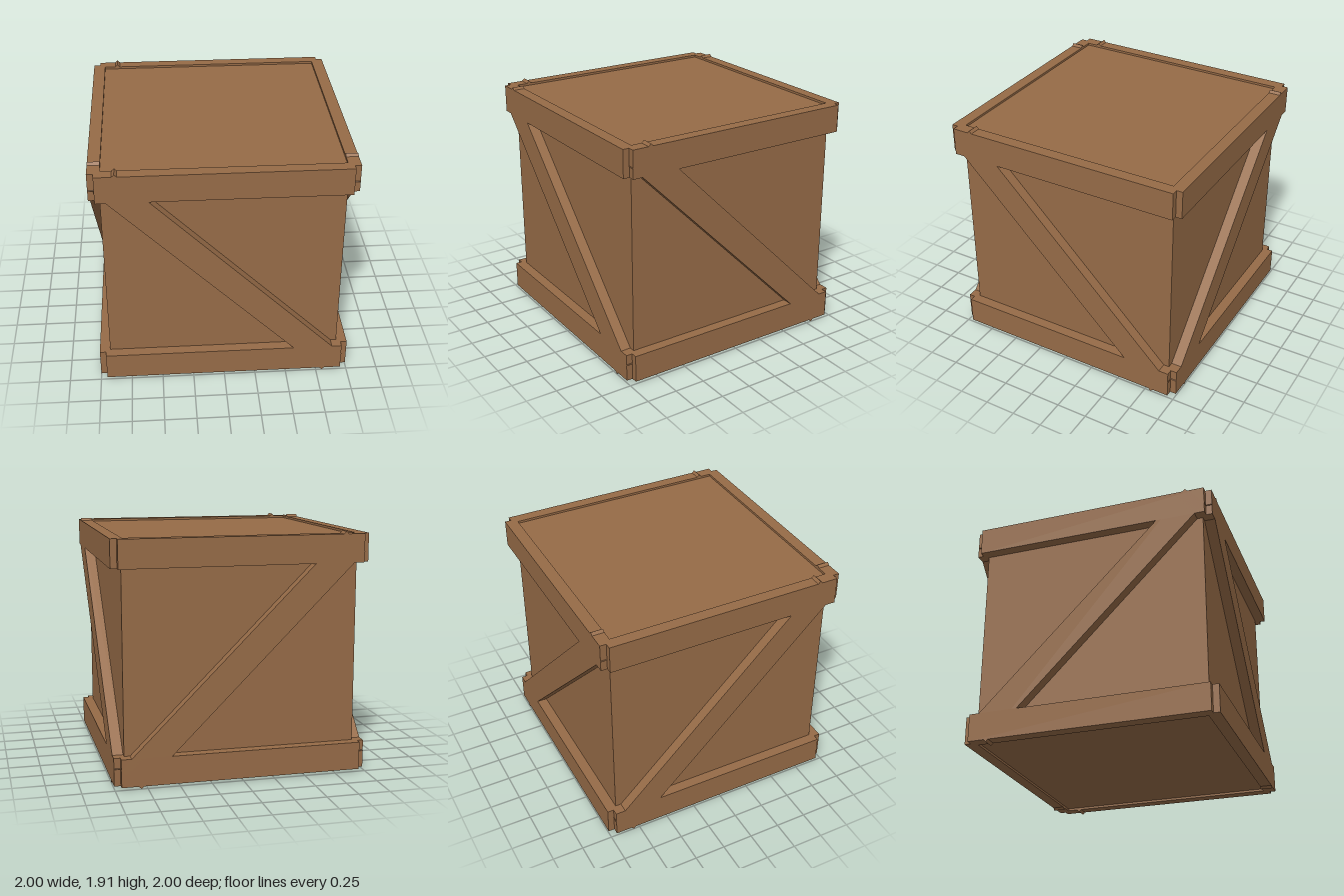
import * as THREE from 'three';

const MID = 0.955;     // height of the crate's centre
const CORE = 1.834;    // edge of the inner cube
const BOARD = 0.22;    // board width
const THICK = 0.095;   // board thickness

export function createModel() {
  const crate = new THREE.Group();
  crate.name = 'crate';
  const wood = new THREE.MeshStandardMaterial({ color: 0x966b47 });
  wood.name = 'brown wood';

  const addBox = (parent, name, size, position, turn = 0) => {
    const mesh = new THREE.Mesh(new THREE.BoxGeometry(...size), wood);
    mesh.name = name;
    mesh.position.set(...position);
    mesh.rotation.z = turn;
    parent.add(mesh);
  };

  // Inner cube, slightly recessed behind the frame on every face
  addBox(crate, 'panels', [CORE, CORE, CORE], [0, MID, 0]);

  // Two rails and a diagonal brace per side; opposite braces lean the same way
  const sides = [
    ['front', 0, -1],
    ['left', Math.PI / 2, -1],
    ['back', Math.PI, 1],
    ['right', -Math.PI / 2, 1],
  ];
  for (const [name, angle, lean] of sides) {
    const side = new THREE.Group();
    side.name = name + 'Frame';
    side.rotation.y = angle;
    const z = 1 - THICK / 2;
    addBox(side, name + 'TopRail', [1.9, BOARD, THICK], [0, 1.78, z]);
    addBox(side, name + 'BottomRail', [1.9, BOARD, THICK], [0, 0.13, z]);
    addBox(side, name + 'Brace', [2.48, BOARD, THICK], [0, MID, z], lean * Math.PI / 4);
    crate.add(side);
  }
  return crate;
}
